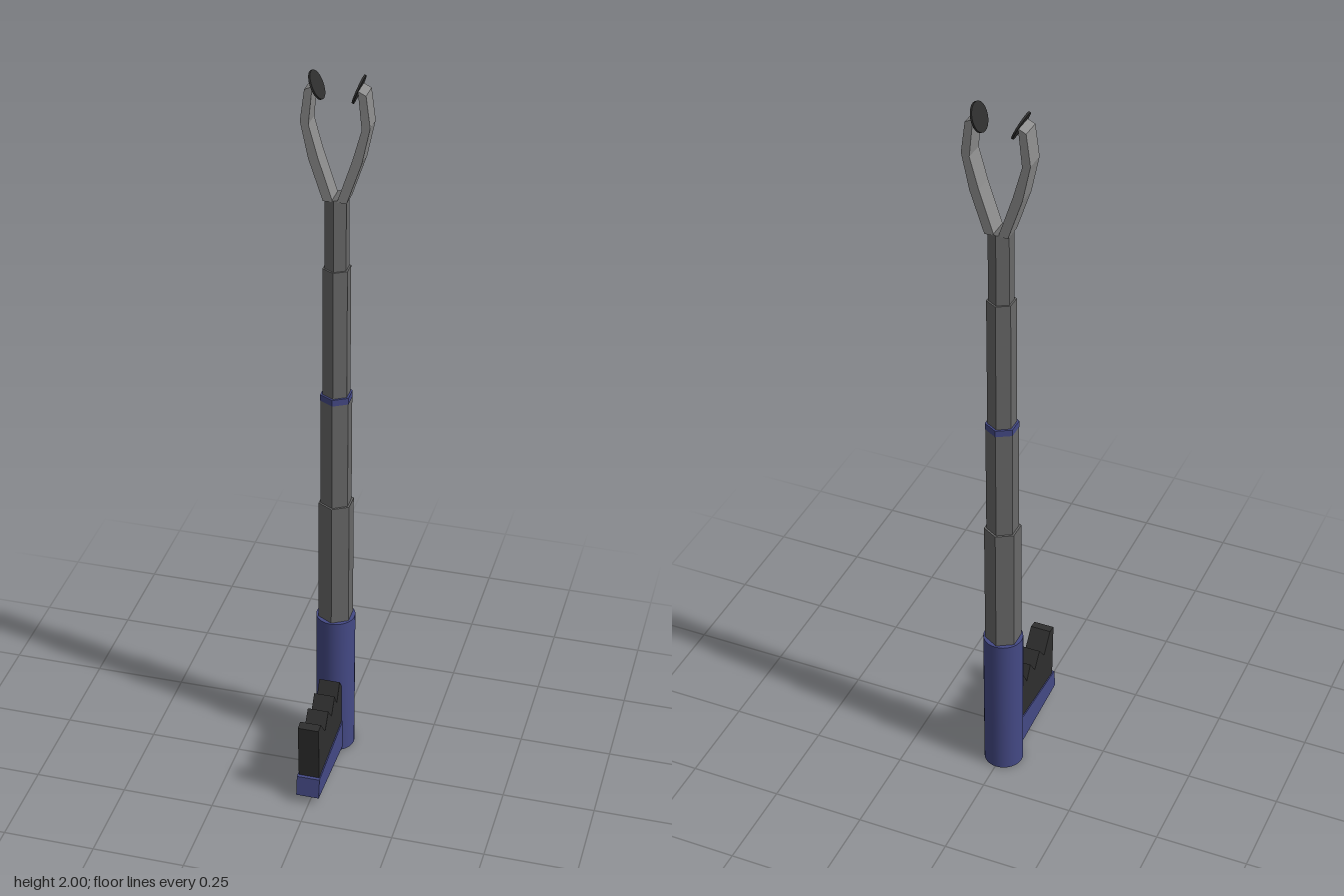
import * as THREE from 'three';

const AXIS_X = -0.003, AXIS_Z = -0.118;

function material(name, color) {
  const m = new THREE.MeshStandardMaterial({ color });
  m.name = name;
  return m;
}

function polygon(points) {
  return new THREE.Shape(points.map(([x, y]) => new THREE.Vector2(x, y)));
}

// Flat extrusion centred on its own depth
function slab(points, depth) {
  const g = new THREE.ExtrudeGeometry(polygon(points), { depth, bevelEnabled: false });
  return g.translate(0, 0, -depth / 2);
}

export function createModel() {
  const blue = material('blue plastic', 0x444985);
  const steel = material('tube grey', 0x686868);
  const clawGrey = material('claw grey', 0x8c8c8c);
  const rubber = material('black rubber', 0x2e2e2e);

  const model = new THREE.Group();
  model.name = 'reachingGrabber';
  const add = (name, geometry, mat, x = 0, y = 0, z = 0, parent = model) => {
    const mesh = new THREE.Mesh(geometry, mat);
    mesh.name = name;
    mesh.position.set(x, y, z);
    parent.add(mesh);
    return mesh;
  };

  // Round handle
  add('handle', new THREE.CylinderGeometry(0.053, 0.053, 0.43, 32), blue, AXIS_X, 0.215, AXIS_Z);

  // Telescoping hexagonal tubes and the collar: name, radius, bottom, top
  const sections = [
    ['lowerTube', 0.048, 0.42, 0.795, steel],
    ['middleTube', 0.042, 0.79, 1.106, steel],
    ['collar', 0.043, 1.106, 1.124, blue],
    ['upperTube', 0.037, 1.12, 1.485, steel],
    ['topTube', 0.032, 1.48, 1.68, steel],
  ];
  for (const [name, r, y0, y1, mat] of sections) {
    const g = new THREE.CylinderGeometry(r, r, y1 - y0, 6).toNonIndexed();
    g.computeVertexNormals();
    add(name, g, mat, AXIS_X, (y0 + y1) / 2, AXIS_Z);
  }

  // Trigger: profiles drawn as (z, y), turned to run across x
  const triggerBase = [[-0.09, 0.01], [0.175, 0.025], [0.167, 0.082], [-0.09, 0.1]];
  const triggerGrip = [
    [-0.09, 0.095], [0.158, 0.08], [0.165, 0.245], [0.14, 0.248], [0.098, 0.196], [0.065, 0.237],
    [0.032, 0.197], [0.0, 0.24], [-0.024, 0.2], [-0.052, 0.25], [-0.075, 0.22], [-0.09, 0.2],
  ];
  add('triggerBase', slab(triggerBase, 0.063).rotateY(-Math.PI / 2), blue, AXIS_X);
  add('triggerGrip', slab(triggerGrip, 0.057).rotateY(-Math.PI / 2), rubber, AXIS_X);

  // Claw arms and their tilted rubber pads, mirrored
  const arm = [
    [0.005, 1.675], [0.03, 1.675], [0.067, 1.785], [0.087, 1.88], [0.076, 1.962],
    [0.056, 1.972], [0.066, 1.873], [0.043, 1.79],
  ];
  for (const side of [1, -1]) {
    const finger = new THREE.Group();
    finger.name = side > 0 ? 'leftFinger' : 'rightFinger';
    finger.position.set(-0.0015, 0, AXIS_Z + 0.001);
    model.add(finger);
    const outline = arm.map(([x, y]) => [x * side, y]);
    add('fingerArm', slab(outline, 0.054), clawGrey, 0, 0, 0, finger);
    const pad = add('fingerPad', new THREE.CylinderGeometry(0.037, 0.037, 0.005, 24), rubber,
      side * 0.052, 1.966, 0, finger);
    // Pads lean inwards at the bottom, the right one a little more
    pad.rotation.z = side > 0 ? Math.PI / 2 - 0.35 : -(Math.PI / 2 - 0.45);
  }
  return model;
}
